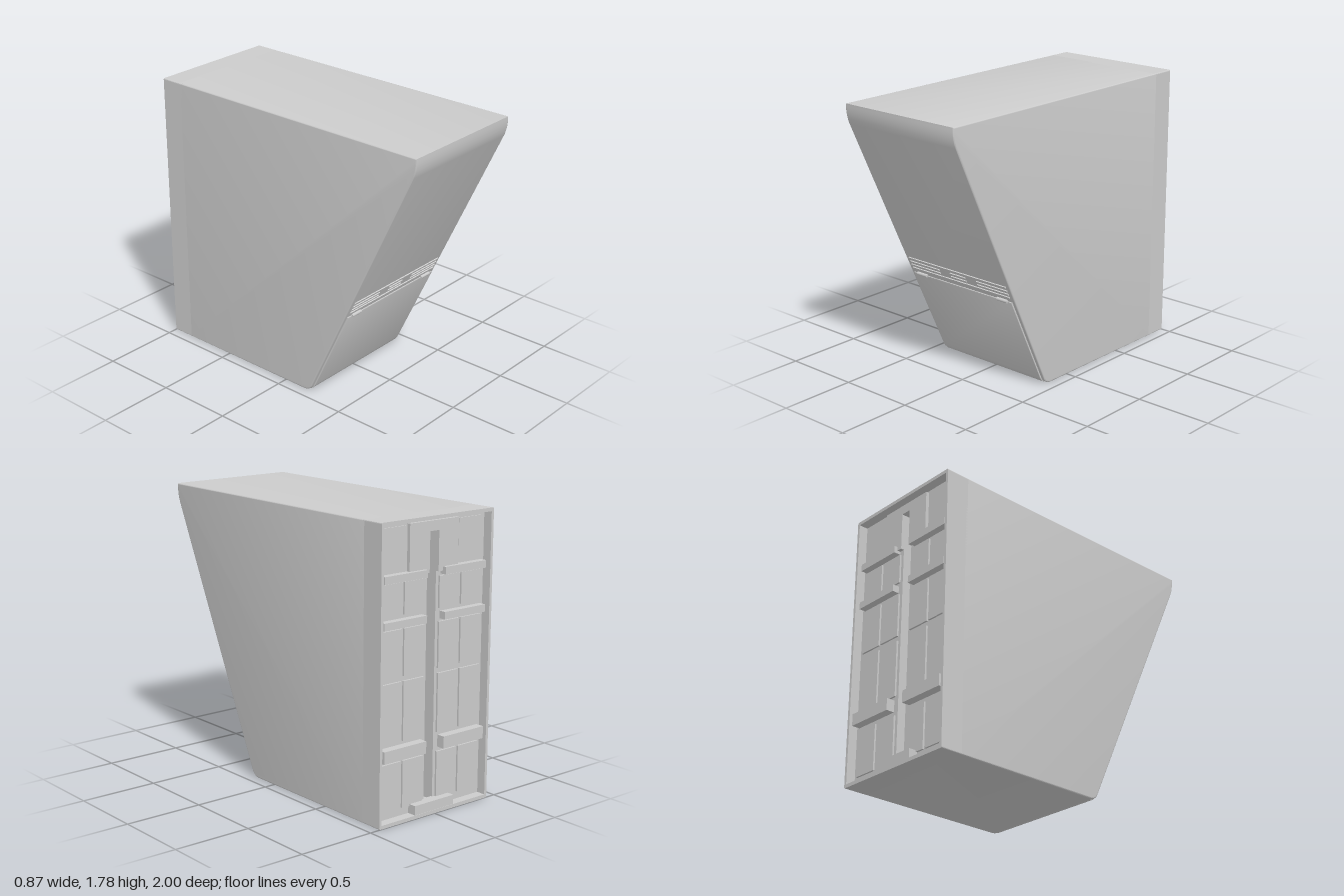
import * as THREE from 'three';
import { toCreasedNormals } from 'three/addons/utils/BufferGeometryUtils.js';

const HALF_W = 0.434, TOP = 1.785, TILT = Math.atan(0.4664);
const PLATE_Z = -0.94; // rear surface of the recessed back plate
const slopeZ = (y) => 0.222 + (y - 0.04) * 0.4664;
const material = new THREE.MeshStandardMaterial({ color: 0xcccccc });

export function createModel() {
  const model = new THREE.Group();

  const add = (name, geometry, x = 0, y = 0, z = 0, parent = model) => {
    const mesh = new THREE.Mesh(geometry, material);
    mesh.name = name;
    mesh.position.set(x, y, z);
    parent.add(mesh);
    return mesh;
  };
  // Box given by its x, y and z ranges
  const block = (name, x0, x1, y0, y1, z0, z1, parent = model) =>
    add(name, new THREE.BoxGeometry(x1 - x0, y1 - y0, z1 - z0),
      (x0 + x1) / 2, (y0 + y1) / 2, (z0 + z1) / 2, parent);
  // Side profile (z, y) extruded across the width
  const sideExtrude = (shape, width, bevel) => {
    const g = new THREE.ExtrudeGeometry(shape, {
      depth: width - 2 * bevel, bevelEnabled: true, bevelSize: bevel, bevelThickness: bevel,
      bevelOffset: -bevel, bevelSegments: 3, curveSegments: 10,
    });
    g.translate(0, 0, -(width - 2 * bevel) / 2);
    g.rotateY(-Math.PI / 2);
    return toCreasedNormals(g, 0.6);
  };
  const rect = (path, x0, x1, y0, y1) => {
    path.moveTo(x0, y0);
    path.lineTo(x1, y0);
    path.lineTo(x1, y1);
    path.lineTo(x0, y1);
    path.closePath();
    return path;
  };

  // Main body: wedge with a sloping front
  const profile = new THREE.Shape();
  profile.moveTo(-0.86, 0);
  profile.lineTo(0.155, 0);
  profile.quadraticCurveTo(0.203, 0, slopeZ(0.04), 0.04);
  profile.lineTo(slopeZ(1.66), 1.66);
  profile.quadraticCurveTo(1, 1.71, 1, 1.77);
  profile.lineTo(1, TOP);
  profile.lineTo(-0.86, TOP);
  add('body', sideExtrude(profile, HALF_W * 2, 0.008));

  // Rear rim around the recess
  const r = 0.008;
  const outline = new THREE.Shape();
  outline.moveTo(-HALF_W + r, 0);
  outline.lineTo(HALF_W - r, 0);
  outline.quadraticCurveTo(HALF_W, 0, HALF_W, r);
  outline.lineTo(HALF_W, TOP - r);
  outline.quadraticCurveTo(HALF_W, TOP, HALF_W - r, TOP);
  outline.lineTo(-HALF_W + r, TOP);
  outline.quadraticCurveTo(-HALF_W, TOP, -HALF_W, TOP - r);
  outline.lineTo(-HALF_W, r);
  outline.quadraticCurveTo(-HALF_W, 0, -HALF_W + r, 0);
  outline.holes.push(rect(new THREE.Path(), -HALF_W + 0.018, HALF_W - 0.018, 0.022, TOP - 0.022));
  add('rearRim', new THREE.ExtrudeGeometry(outline, { depth: 0.16, bevelEnabled: false, curveSegments: 4 }), 0, 0, -1);

  // Back plate with a long central channel
  const plate = rect(new THREE.Shape(), -0.42, 0.42, 0.015, TOP - 0.015);
  plate.holes.push(rect(new THREE.Path(), -0.035, 0.035, 0.06, 1.69));
  add('backPlate', new THREE.ExtrudeGeometry(plate, { depth: 0.08, bevelEnabled: false }), 0, 0, PLATE_Z);

  // Mirrored rear details
  const both = (name, x0, x1, y0, y1, depth) => {
    block(name, x0, x1, y0, y1, PLATE_Z - depth, PLATE_Z + 0.01);
    block(name, -x1, -x0, y0, y1, PLATE_Z - depth, PLATE_Z + 0.01);
  };
  for (const [y0, y1] of [[1.23, 1.42], [0.87, 1.15], [0.48, 0.84], [0.07, 0.36]]) {
    both('innerRearPanel', 0.055, 0.215, y0, y1, 0.012);
    both('outerRearPanel', 0.23, 0.392, y0, y1, 0.012);
  }
  both('topRearPanel', 0.205, 0.392, 1.49, 1.74, 0.008);
  both('topCentreBlock', 0.035, 0.19, 1.45, 1.75, 0.022);
  block('channelCap', -0.035, 0.035, 1.69, 1.75, PLATE_Z - 0.022, PLATE_Z + 0.01);
  both('upperShelf', 0.07, 0.395, 1.43, 1.475, 0.045);
  both('middleShelf', 0.07, 0.395, 1.165, 1.21, 0.045);
  both('lowerShelf', 0.07, 0.395, 0.385, 0.46, 0.055);
  block('rearLedge', -0.155, 0.155, 0.005, 0.08, -0.998, PLATE_Z + 0.01);

  // Front door following the slope and the rounded lower edge
  const lift = 0.012;
  const door = new THREE.Shape();
  door.moveTo(slopeZ(0.615) - 0.02, 0.615);
  door.lineTo(slopeZ(0.04) - 0.02, 0.05);
  door.lineTo(0.165, 0.012);
  door.lineTo(0.175, 0.001);
  door.quadraticCurveTo(0.212, 0.003, slopeZ(0.04) + lift, 0.045);
  door.lineTo(slopeZ(0.605) + lift, 0.608);
  door.lineTo(slopeZ(0.615) + lift - 0.004, 0.615);
  add('frontDoor', sideExtrude(door, 0.82, 0.002));

  // Details lying on the slope: local y runs up it, local z points outward
  const slope = new THREE.Group();
  slope.name = 'slopeDetails';
  slope.position.set(0, 0.04, slopeZ(0.04));
  slope.rotation.x = TILT;
  model.add(slope);
  const along = (y) => (y - 0.04) / Math.cos(TILT);
  const rib = (x0, x1, y) =>
    block('ventRib', x0, x1, along(y) - 0.005, along(y) + 0.005, -0.01, 0.007, slope);
  for (const y of [0.65, 0.724]) rib(-0.405, 0.405, y);
  for (const y of [0.673, 0.697]) {
    rib(-0.405, -0.155, y);
    rib(-0.063, 0.063, y);
    rib(0.155, 0.405, y);
  }

  // Hinges
  for (const x of [-0.335, 0.335]) {
    const barrel = new THREE.CylinderGeometry(0.011, 0.011, 0.082, 16);
    barrel.rotateZ(Math.PI / 2);
    add('doorHinge', barrel, x, along(0.617), 0.006, slope);
  }

  return model;
}
